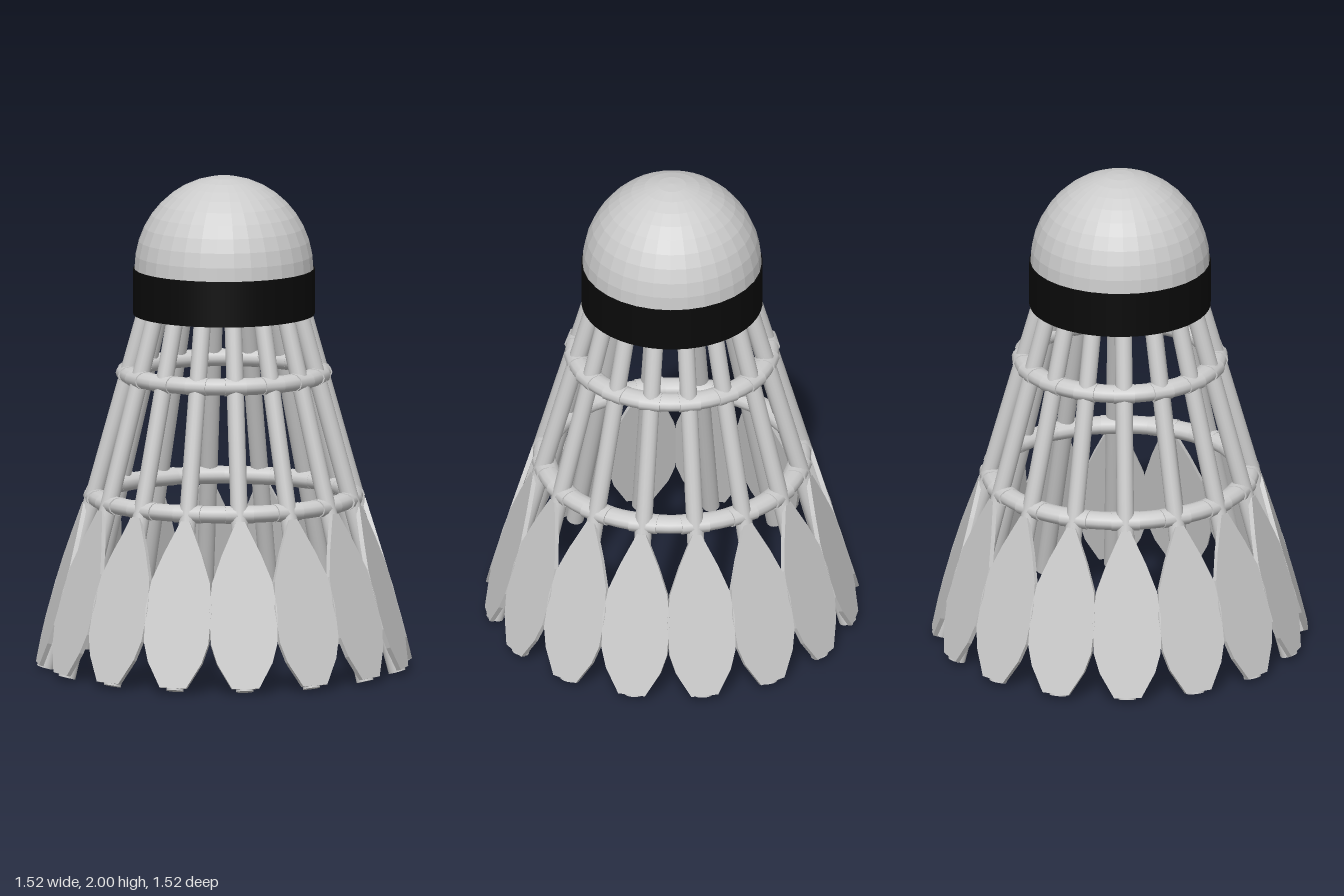
import * as THREE from 'three';

const COUNT = 16;
const TILT = 0.275; // lean of every quill towards the axis
const grey = new THREE.MeshStandardMaterial({ color: 0xcccccc });
const greyFlat = new THREE.MeshStandardMaterial({ color: 0xcccccc, flatShading: true });
const black = new THREE.MeshStandardMaterial({ color: 0x0a0a0a });

function add(parent, name, geometry, material) {
  const mesh = new THREE.Mesh(geometry, material);
  mesh.name = name;
  parent.add(mesh);
  return mesh;
}

// Thin vane outline, mirrored about its centre line, bottom to top
function vaneGeometry() {
  const half = [[0.055, 0.008], [0.112, 0.11], [0.135, 0.19], [0.138, 0.33],
    [0.122, 0.44], [0.08, 0.55], [0.018, 0.685]];
  const outline = [...half, ...half.map(([x, y]) => [-x, y]).reverse()];
  const shape = new THREE.Shape(outline.map(([x, y]) => new THREE.Vector2(x, y)));
  return new THREE.ExtrudeGeometry(shape, { depth: 0.018, bevelEnabled: false });
}

export function createModel() {
  const model = new THREE.Group();
  model.name = 'shuttlecock';

  // Rounded head and dark band
  const dome = add(model, 'headDome',
    new THREE.SphereGeometry(0.362, 32, 10, 0, Math.PI * 2, 0, Math.PI / 2), greyFlat);
  dome.position.y = 1.62;
  dome.scale.y = 0.38 / 0.362;
  add(model, 'headBand', new THREE.CylinderGeometry(0.366, 0.366, 0.185, 48), black)
    .position.y = 1.5325;

  // Quills, each with a vane on its outer side
  const stemLength = 1.55;
  const stem = new THREE.CylinderGeometry(0.035, 0.035, stemLength, 16);
  stem.translate(0, stemLength / 2, 0);
  const vane = vaneGeometry();
  vane.translate(0, 0, 0.017);
  for (let i = 0; i < COUNT; i++) {
    const spoke = new THREE.Group();
    spoke.name = 'feather';
    spoke.rotation.y = (i / COUNT) * Math.PI * 2;
    const feather = new THREE.Group();
    feather.position.set(0, 0.01, 0.725);
    feather.rotation.x = -TILT;
    add(feather, 'quill', stem, grey);
    add(feather, 'vane', vane, greyFlat);
    spoke.add(feather);
    model.add(spoke);
  }

  // Binding rings with a short collar at every quill
  for (const [name, radius, y] of [['upperRing', 0.385, 1.2], ['lowerRing', 0.515, 0.7]]) {
    const ring = new THREE.Group();
    ring.name = name;
    ring.position.y = y;
    const torus = new THREE.TorusGeometry(radius, 0.046, 12, 64);
    torus.rotateX(Math.PI / 2);
    torus.scale(1, 0.76, 1);
    add(ring, 'ringCord', torus, grey);
    const collar = new THREE.CylinderGeometry(0.037, 0.037, radius * 0.22, 12);
    collar.rotateZ(Math.PI / 2);
    collar.scale(1, 1, 1.35);
    collar.translate(0, 0, radius);
    for (let i = 0; i < COUNT; i++) {
      add(ring, 'ringCollar', collar, grey).rotation.y = (i / COUNT) * Math.PI * 2;
    }
    model.add(ring);
  }
  return model;
}
